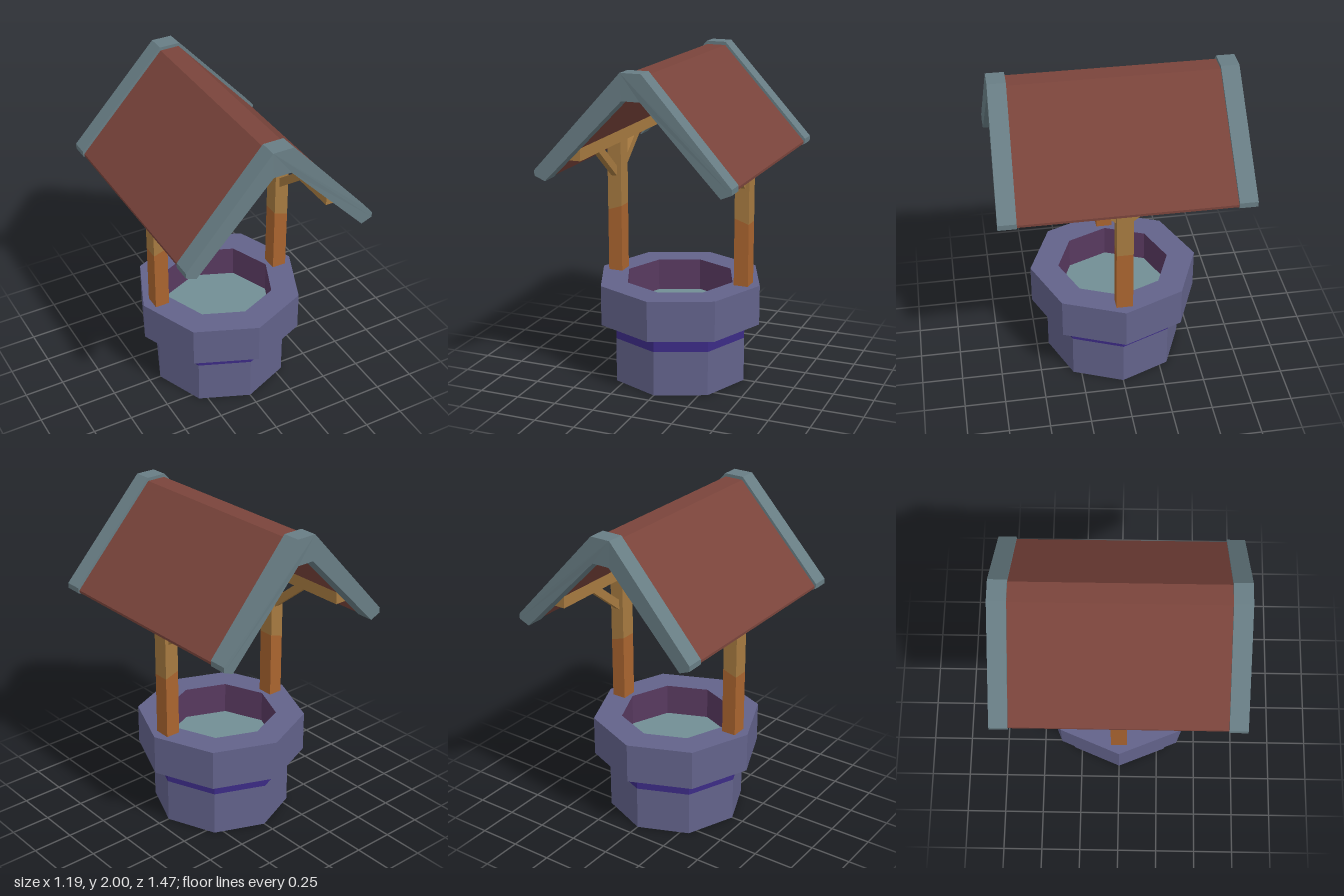
import * as THREE from 'three';

const mat = (color) => new THREE.MeshStandardMaterial({ color, flatShading: true, side: THREE.DoubleSide });
const MATS = {
  stone: mat(0x62628a), band: mat(0x3c2b85), lining: mat(0x58395f), water: mat(0x718e94),
  woodLow: mat(0xa9642f), woodHigh: mat(0xa67a40), tiles: mat(0x7a443b), trim: mat(0x687d84),
};

export function createModel() {
  const model = new THREE.Group();

  const add = (name, geometry, material) => {
    const mesh = new THREE.Mesh(geometry, material);
    mesh.name = name;
    model.add(mesh);
    return mesh;
  };

  // Eight-sided ring from a [radius, height] profile, corners on the axes
  const ring = (name, profile, material) =>
    add(name, new THREE.LatheGeometry(profile.map(([r, y]) => new THREE.Vector2(r, y)), 8).toNonIndexed(), material);

  // Outline in x and y, extruded from z0 to z1
  const prism = (points, z0, z1) => {
    const shape = new THREE.Shape(points.map(([x, y]) => new THREE.Vector2(x, y)));
    return new THREE.ExtrudeGeometry(shape, { depth: z1 - z0, bevelEnabled: false }).translate(0, 0, z0);
  };

  // Right half of a roof outline, completed by its mirror image
  const mirrored = (half) => [...half, ...half.map(([x, y]) => [-x, y]).reverse()];

  // Well: hollow base, dark band, overhanging rim, lining and water
  ring('baseWall', [[0.425, 0], [0.425, 0.28]], MATS.stone);
  ring('baseBand', [[0.425, 0.28], [0.425, 0.385]], MATS.band);
  ring('rim', [[0.52, 0.38], [0.52, 0.63], [0.345, 0.63]], MATS.stone);
  ring('rimLining', [[0.345, 0.63], [0.345, 0.38]], MATS.lining);
  const water = new THREE.CircleGeometry(0.345, 8).rotateX(-Math.PI / 2).translate(0, 0.43, 0);
  add('water', water, MATS.water);

  for (const s of [1, -1]) {
    const side = s > 0 ? 'left' : 'right';
    const flip = (points) => points.map(([x, y]) => [x * s, y]);

    // Two-tone post
    add(side + 'PostLower',
      prism(flip([[0.37, 0.62], [0.46, 0.62], [0.46, 1.02], [0.37, 1.05]]), -0.05, 0.05), MATS.woodLow);
    add(side + 'PostUpper',
      prism(flip([[0.37, 1.05], [0.46, 1.02], [0.46, 1.46], [0.37, 1.53]]), -0.05, 0.05), MATS.woodHigh);

    // Beam tucked under the roof slope
    add(side + 'Beam',
      prism(flip([[0.37, 1.455], [0.46, 1.455], [0.46, 1.47], [0.37, 1.53]]), -0.6, 0.6), MATS.woodHigh);

    // Slanted braces from the post to the beam
    for (const d of [1, -1]) {
      const outline = [[0.045, 1.236], [0.315, 1.455], [0.235, 1.455], [0.045, 1.301]].map(([z, y]) => [z * d, y]);
      const geometry = prism(outline, -0.019, 0.019).rotateY(-Math.PI / 2).translate(0.416 * s, 0, 0);
      add(side + (d > 0 ? 'FrontBrace' : 'BackBrace'), geometry, MATS.woodHigh);
    }
  }

  // Roof with a narrow flat ridge
  const roof = mirrored([[0.06, 1.98], [0.587, 1.4], [0.587, 1.385], [0.535, 1.36], [0.057, 1.852]]);
  add('roof', prism(roof, -0.63, 0.63), MATS.tiles);

  // Gable trims, flaring slightly outwards towards the eaves
  const trim = mirrored([[0.063, 2], [0.595, 1.415], [0.595, 1.383], [0.53, 1.355], [0.055, 1.845]]);
  for (const d of [1, -1]) {
    const geometry = prism(trim, d > 0 ? 0.61 : -0.718, d > 0 ? 0.718 : -0.61);
    const p = geometry.attributes.position;
    for (let i = 0; i < p.count; i++) {
      p.setZ(i, p.getZ(i) + d * 0.032 * Math.max(0, Math.abs(p.getX(i)) - 0.06));
    }
    geometry.computeVertexNormals();
    add(d > 0 ? 'frontGableTrim' : 'backGableTrim', geometry, MATS.trim);
  }

  return model;
}
